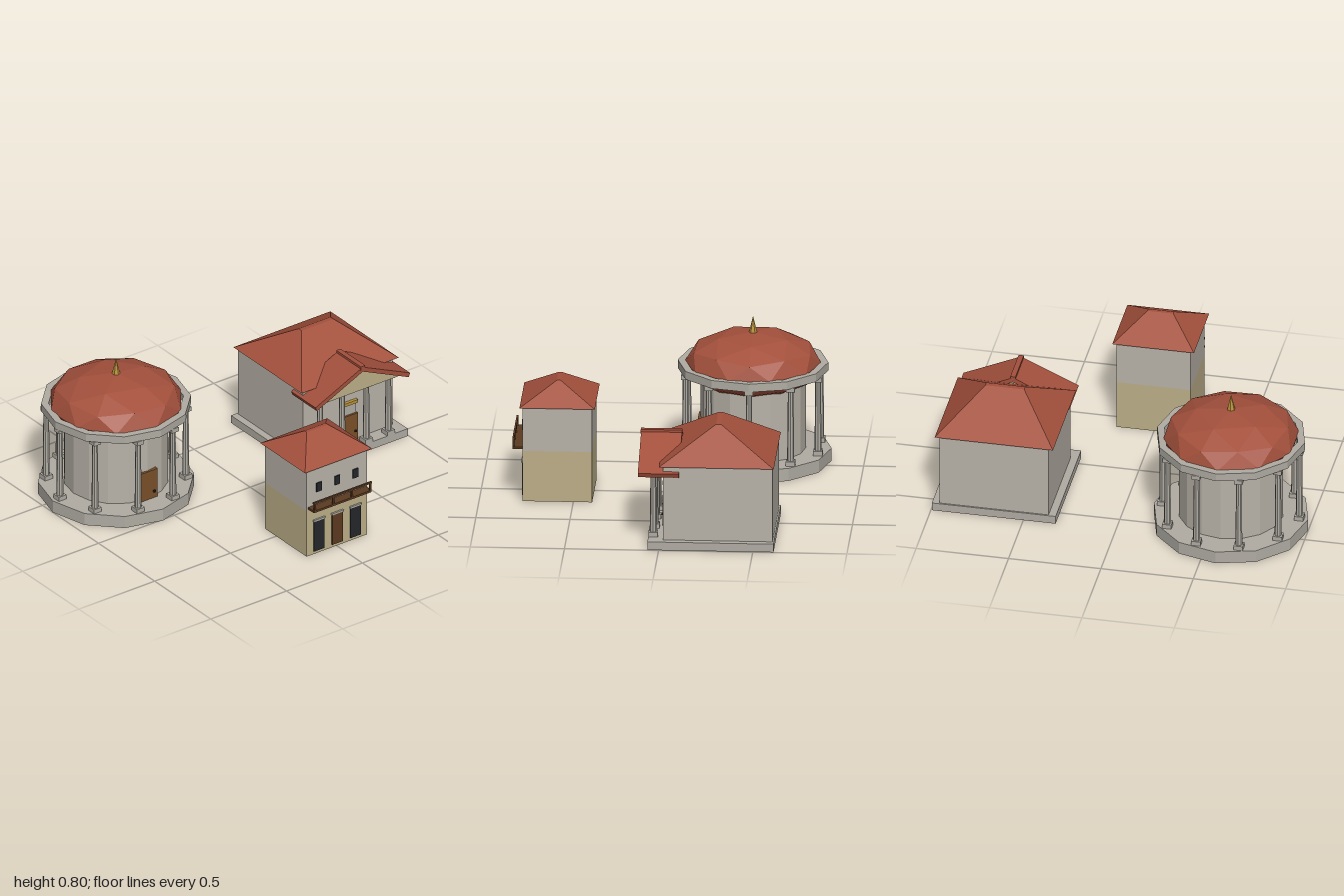
import * as THREE from 'three';

const mat = (name, color) => {
  const m = new THREE.MeshStandardMaterial({ color });
  m.name = name;
  return m;
};

// Faceted normals for every geometry
function facet(geo) {
  const g = geo.index ? geo.toNonIndexed() : geo;
  g.computeVertexNormals();
  return g;
}

function add(parent, name, geo, material, x = 0, y = 0, z = 0) {
  const mesh = new THREE.Mesh(facet(geo), material);
  mesh.name = name;
  mesh.position.set(x, y, z);
  parent.add(mesh);
  return mesh;
}

// Box given by its size, its bottom height and its centre in x and z
const box = (parent, name, m, w, h, d, x, y, z) =>
  add(parent, name, new THREE.BoxGeometry(w, h, d), m, x, y + h / 2, z);

const group = (parent, name, x, z) => {
  const g = new THREE.Group();
  g.name = name;
  g.position.set(x, 0, z);
  parent.add(g);
  return g;
};

// Hip roof: a box whose top is drawn in to a narrow ridge
function hipRoof(parent, m, w, d, ridgeW, ridgeD, y0, y1, z) {
  const geo = new THREE.BoxGeometry(w, y1 - y0, d);
  const p = geo.attributes.position;
  for (let i = 0; i < p.count; i++) {
    if (p.getY(i) > 0) {
      p.setX(i, Math.sign(p.getX(i)) * ridgeW / 2);
      p.setZ(i, Math.sign(p.getZ(i)) * ridgeD / 2);
    }
  }
  add(parent, 'hipRoof', geo, m, 0, (y0 + y1) / 2, z);
}

// Tapered shaft between a square plinth and a square capital
function column(parent, m, x, z, y0, y1, turn = 0) {
  const c = group(parent, 'column', x, z);
  c.rotation.y = turn;
  box(c, 'plinth', m, 0.05, 0.025, 0.05, 0, y0, 0);
  const h = y1 - y0 - 0.05;
  add(c, 'shaft', new THREE.CylinderGeometry(0.015, 0.019, h, 8), m, 0, (y0 + y1) / 2, 0);
  box(c, 'capital', m, 0.045, 0.025, 0.045, 0, y1 - 0.025, 0);
}

// Upright prism from an outline in x and y, running from z0 to z1
function prism(parent, name, m, points, z0, z1) {
  const shape = new THREE.Shape(points.map(([x, y]) => new THREE.Vector2(x, y)));
  const geo = new THREE.ExtrudeGeometry(shape, { depth: z1 - z0, bevelEnabled: false });
  add(parent, name, geo, m, 0, 0, z0);
}

export function createModel() {
  const stone = mat('stone', 0xb0aca3);
  const wall = mat('wall stone', 0xb8b2a8);
  const plaster = mat('tan plaster', 0xbcae88);
  const roof = mat('roof tile', 0xa3503c);
  const gold = mat('gold', 0xb8923a);
  const wood = mat('door wood', 0x7a5028);
  const darkWood = mat('dark wood', 0x5c3a20);
  const dark = mat('dark glass', 0x24262a);

  const model = new THREE.Group();
  model.name = 'classicalBuildings';

  // Rotunda: base, drum, ring of columns, dome
  const rotunda = group(model, 'rotunda', -0.583, -0.408);
  add(rotunda, 'base', new THREE.CylinderGeometry(0.417, 0.417, 0.07, 12), stone, 0, 0.035, 0);
  add(rotunda, 'drum', new THREE.CylinderGeometry(0.28, 0.28, 0.43, 16), wall, 0, 0.285, 0);
  for (let i = 0; i < 10; i++) {
    const a = Math.PI / 2 + i * Math.PI / 5;
    column(rotunda, stone, 0.37 * Math.sin(a), 0.37 * Math.cos(a), 0.07, 0.505);
  }
  const profile = [[0.36, 0.503], [0.4, 0.503], [0.4, 0.548], [0.36, 0.548], [0.36, 0.503]]
    .map(([r, y]) => new THREE.Vector2(r, y));
  add(rotunda, 'entablature', new THREE.LatheGeometry(profile, 12), stone);

  const domeGeo = new THREE.IcosahedronGeometry(1, 1);
  domeGeo.rotateZ(Math.atan(2 / (1 + Math.sqrt(5))));
  domeGeo.rotateY(Math.PI);
  domeGeo.scale(0.363, 0.17, 0.363);
  add(rotunda, 'dome', domeGeo, roof, 0, 0.542, 0);
  add(rotunda, 'spire', new THREE.ConeGeometry(0.024, 0.1, 6), gold, 0, 0.75, 0);
  box(rotunda, 'door', wood, 0.12, 0.17, 0.03, 0, 0.07, 0.275);
  box(rotunda, 'doorKnob', dark, 0.012, 0.012, 0.012, 0.037, 0.105, 0.293);

  // Temple: base, hall, hip roof
  const temple = group(model, 'temple', 0.66, 0);
  box(temple, 'base', stone, 0.67, 0.045, 0.67, 0, 0, -0.275);
  box(temple, 'hall', wall, 0.59, 0.415, 0.58, 0, 0.045, -0.312);
  hipRoof(temple, roof, 0.64, 0.61, 0.21, 0.028, 0.457, 0.632, -0.305);

  // Portico with gable roof
  for (const x of [-0.225, -0.08, 0.08, 0.225]) column(temple, stone, x, 0.035, 0.045, 0.41);
  prism(temple, 'pediment', plaster, [[-0.27, 0.405], [0.27, 0.405], [0, 0.538]], -0.02, 0.085);
  prism(temple, 'gableRoof', roof, [
    [0, 0.56], [-0.312, 0.418], [-0.303, 0.395], [0, 0.533], [0.303, 0.395], [0.312, 0.418],
  ], -0.105, 0.112);
  box(temple, 'ridgeCap', roof, 0.028, 0.022, 0.22, 0, 0.545, 0.004);
  box(temple, 'door', wood, 0.106, 0.165, 0.02, 0, 0.045, -0.014);
  box(temple, 'doorKnob', dark, 0.01, 0.01, 0.01, 0.037, 0.1, -0.002);
  box(temple, 'doorPanel', stone, 0.1, 0.06, 0.008, 0, 0.21, -0.019);
  box(temple, 'goldBar', gold, 0.11, 0.018, 0.02, 0, 0.272, -0.014);

  // Town house: two storeys and hip roof
  const house = group(model, 'townHouse', 0.002, 0.585);
  box(house, 'lowerStorey', plaster, 0.4, 0.28, 0.37, 0, 0, 0);
  box(house, 'upperStorey', wall, 0.4, 0.245, 0.37, 0, 0.28, 0);
  hipRoof(house, roof, 0.442, 0.4, 0.14, 0.02, 0.524, 0.635, 0);
  for (const x of [-0.12, 0, 0.12]) {
    box(house, 'window', dark, 0.034, 0.053, 0.009, x, 0.376, 0.187);
    box(house, 'opening', x ? dark : darkWood, 0.07, 0.182, 0.009, x, 0.018, 0.187);
    box(house, 'lintel', stone, 0.076, 0.01, 0.012, x, 0.2, 0.189);
  }

  // Balcony
  box(house, 'balconyFloor', darkWood, 0.38, 0.012, 0.055, 0, 0.286, 0.21);
  box(house, 'balconyRail', darkWood, 0.384, 0.01, 0.01, 0, 0.34, 0.234);
  for (const x of [-0.183, -0.061, 0.061, 0.183])
    box(house, 'balconyPost', darkWood, 0.009, 0.05, 0.009, x, 0.295, 0.234);

  return model;
}
